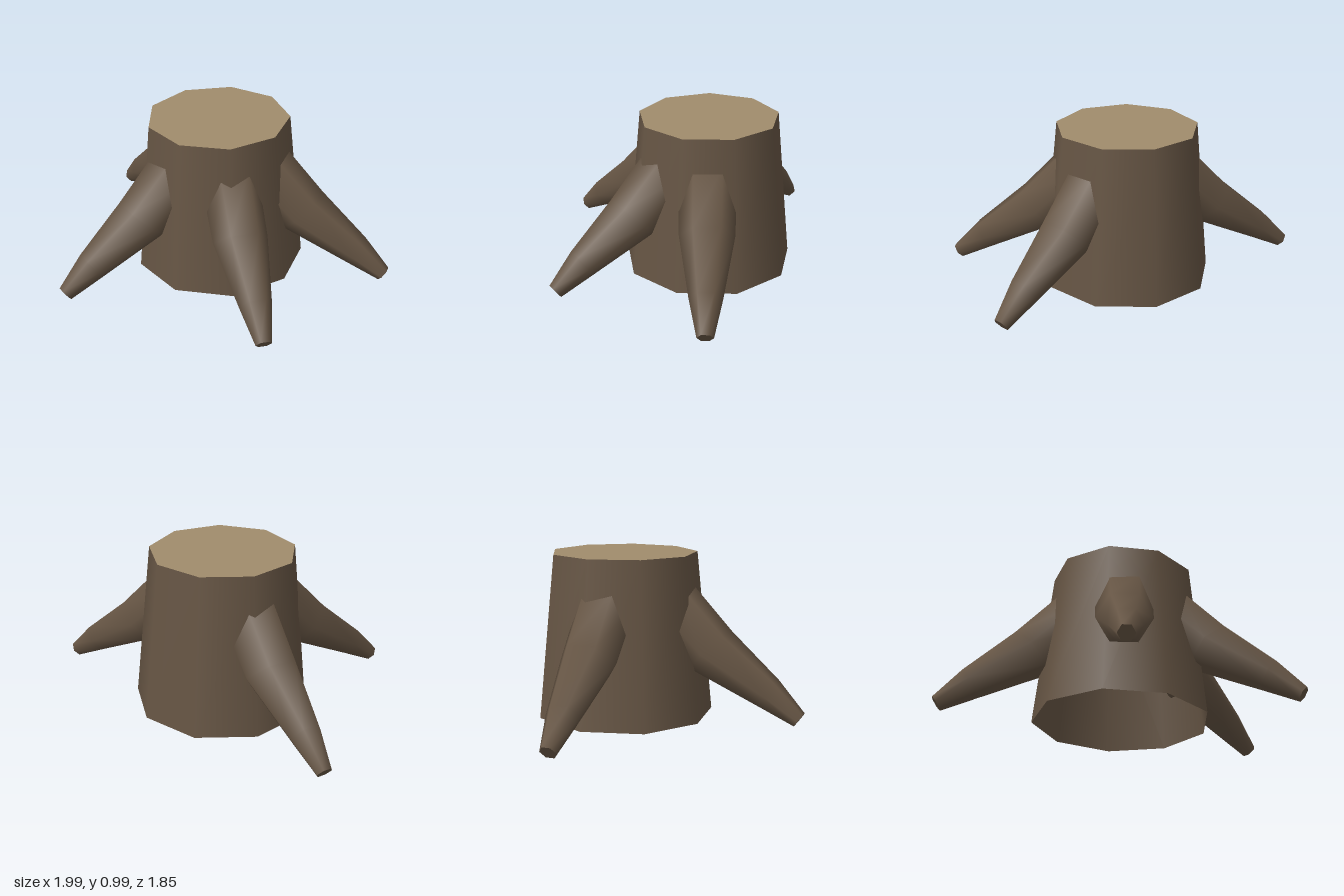
import * as THREE from 'three';
import { toCreasedNormals } from 'three/addons/utils/BufferGeometryUtils.js';

const HEIGHT = 0.99;
const TOP_RADIUS = 0.45;
const BASE_RADIUS = 0.55;
const SIDES = 9;

// Root cross-sections from trunk to tip: distance from axis, height, radius, slope angle
const ROOT_RINGS = [
  [0.29, 0.71, 0.18, -0.84],
  [0.57, 0.43, 0.17, -0.78],
  [0.93, 0.205, 0.1, -0.59],
  [1.12, 0.065, 0.05, -0.62],
];
const ROOT_ANGLES = [10.2, 66, 137.5, 222.8];

// Six-sided tapering root, bent along the cross-sections in the xy plane
function rootGeometry() {
  const last = ROOT_RINGS.length - 1;
  const geometry = new THREE.CylinderGeometry(1, 1, 1, 6, last);
  const position = geometry.attributes.position;
  for (let i = 0; i < position.count; i++) {
    const row = Math.round((0.5 - position.getY(i)) * last);
    const [out, up, radius, slope] = ROOT_RINGS[row];
    const lift = position.getX(i) * radius;
    position.setXYZ(
      i,
      out - Math.sin(slope) * lift,
      up + Math.cos(slope) * lift,
      position.getZ(i) * radius
    );
  }
  return toCreasedNormals(geometry, 1.2);
}

export function createModel() {
  const bark = new THREE.MeshStandardMaterial({ color: 0x665544, side: THREE.DoubleSide });
  const wood = new THREE.MeshStandardMaterial({ color: 0xa08c6c, side: THREE.DoubleSide });

  const stump = new THREE.Group();
  stump.name = 'treeStump';
  stump.position.set(-0.13, 0, -0.13);

  // Hollow trunk, open at the bottom
  const trunk = new THREE.Mesh(
    new THREE.CylinderGeometry(TOP_RADIUS, BASE_RADIUS, HEIGHT, SIDES, 1, true, Math.PI),
    bark
  );
  trunk.name = 'trunk';
  trunk.position.y = HEIGHT / 2;
  stump.add(trunk);

  // Cut face on top
  const cut = new THREE.Mesh(new THREE.CircleGeometry(TOP_RADIUS, SIDES, Math.PI / 2), wood);
  cut.name = 'cutTop';
  cut.rotation.x = -Math.PI / 2;
  cut.position.y = HEIGHT;
  stump.add(cut);

  // Roots spreading around the trunk
  const geometry = rootGeometry();
  ROOT_ANGLES.forEach((angle, i) => {
    const root = new THREE.Mesh(geometry, bark);
    root.name = `root${i + 1}`;
    root.rotation.y = -THREE.MathUtils.degToRad(angle);
    stump.add(root);
  });

  const model = new THREE.Group();
  model.name = 'stumpModel';
  model.add(stump);
  return model;
}
